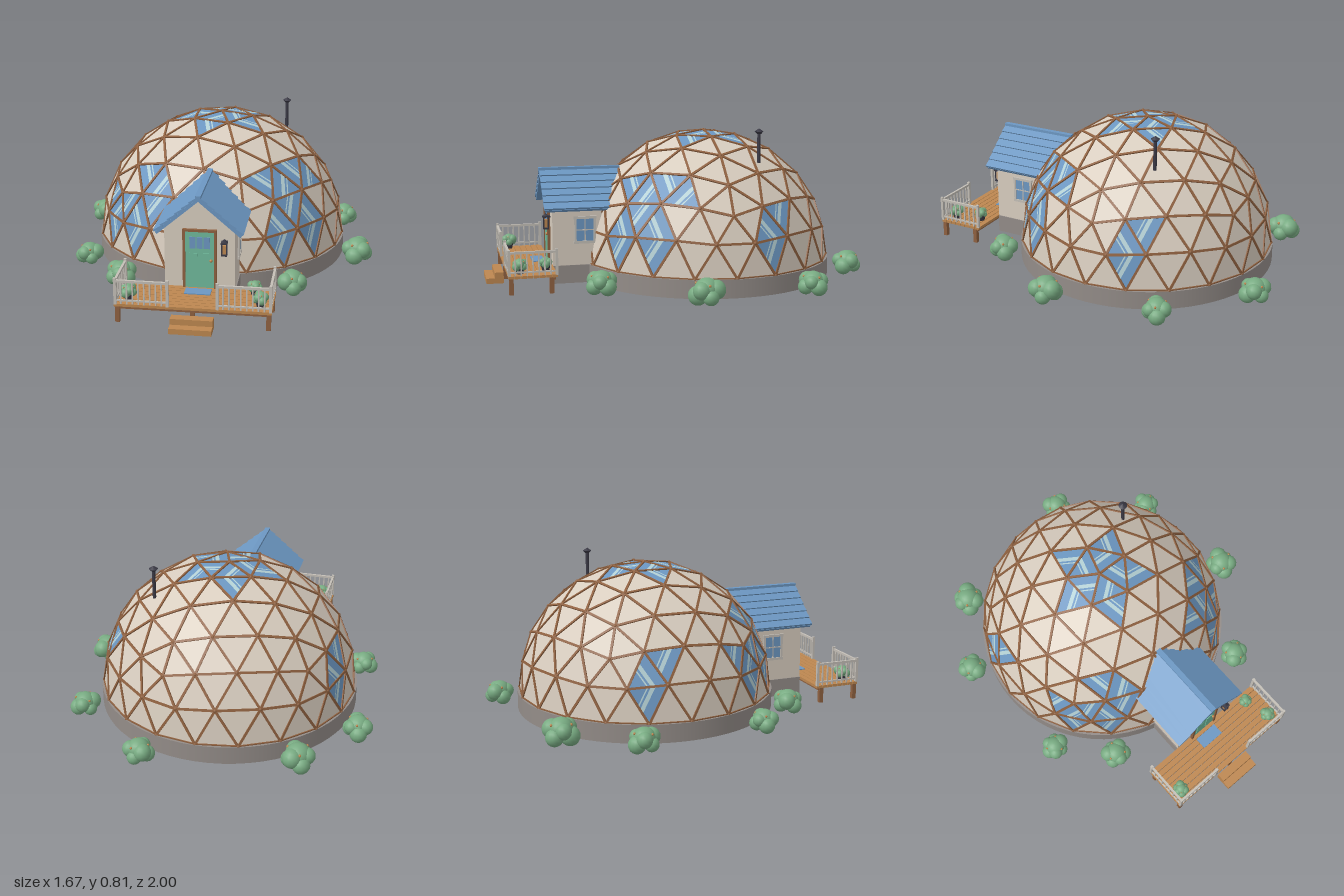
import * as THREE from 'three';
import { mergeGeometries } from 'three/addons/utils/BufferGeometryUtils.js';

const mat = (name, color, extra = {}) => new THREE.MeshStandardMaterial({ name, color, ...extra });
const M = {
  panel: mat('cream panel', 0xd8cdbf, { side: THREE.DoubleSide }),
  blue: mat('blue glass and roof', 0x6c97c2, { side: THREE.DoubleSide }),
  pale: mat('pale reflection', 0xb4d0d4, { side: THREE.DoubleSide }),
  wood: mat('deck wood', 0xbd8750),
  timber: mat('brown timber', 0x8f6140),
  stone: mat('grey concrete', 0x938c88),
  door: mat('mint door', 0x70ba9c),
  leaf: mat('leaf green', 0x78ab82),
  metal: mat('dark metal', 0x3b3a46),
  rail: mat('light rail', 0xc4bfb7),
};

const CX = -0.02, CZ = -0.19, BASE = 0.095, R = 0.675;
const V = (x, y, z) => new THREE.Vector3(x, y, z);

// Box placed by its min and max corners
function slab(x0, x1, y0, y1, z0, z1) {
  return new THREE.BoxGeometry(x1 - x0, y1 - y0, z1 - z0)
    .translate((x0 + x1) / 2, (y0 + y1) / 2, (z0 + z1) / 2);
}
function add(group, name, material, ...geos) {
  const mesh = new THREE.Mesh(geos.length > 1 ? mergeGeometries(geos) : geos[0], material);
  mesh.name = name;
  group.add(mesh);
  return mesh;
}
function polygons(points) {
  const g = new THREE.BufferGeometry().setFromPoints(points);
  g.computeVertexNormals();
  return g;
}
function polar(deg, y, r) {
  const a = deg * Math.PI / 180;
  return V(Math.cos(a) * r, y, Math.sin(a) * r);
}

// Glazed panels, as [azimuth in degrees, height on the unit sphere]
const glazed = [
  [36, 0.658], [47, 0.584], [25, 0.584], [59, 0.627], [36, 0.359], [46, 0.435], [55, 0.343], [36, 0.184], [54, 0.176],
  [131, 0.627], [119, 0.584], [118, 0.435], [144, 0.316], [144, 0.167], [127, 0.343], [126, 0.176], [152, 0.4], [136, 0.4],
  [-17, 0.343], [-26, 0.435], [-18, 0.176], [199, 0.343], [190, 0.435], [198, 0.176],
];
for (let k = 0; k < 5; k++) glazed.push([36 + 72 * k, 0.972], [36 + 72 * k, 0.943]);
const glassCentres = glazed.map(([a, y]) => polar(a, y, Math.sqrt(Math.max(0.965 - y * y, 0.015))));

// Upper half of a four-frequency geodesic sphere
function domeTriangles() {
  const apex = V(0, 1, 0), h = Math.sqrt(0.2), tris = [], n = 4;
  const up = k => polar(72 * k, h, 2 * h), low = k => polar(36 + 72 * k, -h, 2 * h);
  const faces = [];
  for (let k = 0; k < 5; k++)
    faces.push([apex, up(k + 1), up(k)], [low(k), up(k), up(k + 1)], [up(k), low(k), low(k - 1)]);
  for (const [a, b, c] of faces) {
    const p = (i, j) => V(0, 0, 0).addScaledVector(a, n - i - j).addScaledVector(b, i).addScaledVector(c, j).normalize();
    for (let i = 0; i < n; i++) for (let j = 0; j < n - i; j++) {
      tris.push([p(i, j), p(i + 1, j), p(i, j + 1)]);
      if (i + j < n - 1) tris.push([p(i + 1, j), p(i + 1, j + 1), p(i, j + 1)]);
    }
  }
  return tris.filter(t => t.every(v => v.y > -0.01));
}

function buildDome() {
  const dome = new THREE.Group();
  dome.name = 'dome';
  dome.position.set(CX, BASE, CZ);
  const solid = [], glass = [], shine = [], struts = [], hubs = [], seen = new Set();
  const key = v => [v.x, v.y, v.z].map(n => Math.round(n * 500)).join();
  for (const t of domeTriangles()) {
    const mid = V(0, 0, 0).add(t[0]).add(t[1]).add(t[2]).divideScalar(3);
    const isGlass = glassCentres.some(c => c.distanceTo(mid) < 0.07);
    const [a, b, c] = t.map(v => v.clone().multiplyScalar(R));
    const out = b.clone().sub(a).cross(c.clone().sub(a)).dot(mid) > 0;
    (isGlass ? glass : solid).push(...(out ? [a, b, c] : [a, c, b]));
    // Diagonal reflections on the glass
    if (isGlass) for (const [s, e] of [[0.3, 0.42], [0.48, 0.52]]) {
      const at = (p, q, k) => p.clone().lerp(q, k).addScaledVector(mid, 0.003);
      const [p, q, r, u] = [at(a, c, s), at(b, c, s), at(b, c, e), at(a, c, e)];
      shine.push(...(out ? [p, q, r, p, r, u] : [p, r, q, p, u, r]));
    }
    // Struts along every edge and a hub on every corner
    [[a, b], [b, c], [c, a]].forEach(([p, q]) => {
      const m = p.clone().add(q).multiplyScalar(0.5), id = key(m);
      if (!seen.has(id)) {
        seen.add(id);
        const z = q.clone().sub(p).normalize(), x = m.clone().normalize().cross(z).normalize();
        const basis = new THREE.Matrix4().makeBasis(x, z.clone().cross(x), z).setPosition(m);
        struts.push(new THREE.BoxGeometry(0.012, 0.012, p.distanceTo(q)).applyMatrix4(basis));
      }
      if (!seen.has('h' + key(p))) {
        seen.add('h' + key(p));
        hubs.push(new THREE.SphereGeometry(0.01, 8, 6).translate(p.x, p.y, p.z));
      }
    });
  }
  add(dome, 'domePanels', M.panel, polygons(solid));
  add(dome, 'domeWindows', M.blue, polygons(glass));
  add(dome, 'windowReflections', M.pale, polygons(shine));
  add(dome, 'domeStruts', M.timber, ...struts);
  add(dome, 'domeHubs', M.timber, ...hubs);
  return dome;
}

function buildEntrance() {
  const g = new THREE.Group();
  g.name = 'entrance';
  // Gabled walls
  const s = new THREE.Shape([[-0.175, BASE], [0.175, BASE], [0.175, 0.405], [0, 0.56], [-0.175, 0.405]].map(p => new THREE.Vector2(...p)));
  add(g, 'entranceWalls', M.panel, new THREE.ExtrudeGeometry(s, { depth: 0.38, bevelEnabled: false }).translate(CX, 0, 0.28));
  // Lapped roof boards on both slopes
  const boards = [], rows = 6, len = 0.275, slope = Math.atan2(0.18, 0.21);
  for (const side of [-1, 1]) {
    boards.push(new THREE.BoxGeometry(len, 0.014, 0.42).rotateZ(-side * slope)
      .translate(CX + side * 0.105, 0.478, 0.49));
    for (let i = 0; i < rows; i++) {
      const t = (i + 0.5) / rows;
      boards.push(new THREE.BoxGeometry(len / rows + 0.008, 0.01, 0.43).rotateZ(-side * (slope - 0.15))
        .translate(CX + side * (0.21 * t + 0.005), 0.58 - 0.18 * t, 0.49));
    }
  }
  boards.push(slab(CX - 0.014, CX + 0.014, 0.572, 0.59, 0.275, 0.707));
  add(g, 'roof', M.blue, ...boards);
  // Door with frame, panes and knob
  add(g, 'doorFrame', M.timber, slab(-0.103, -0.09, BASE, 0.405, 0.655, 0.675),
    slab(0.053, 0.066, BASE, 0.405, 0.655, 0.675), slab(-0.103, 0.066, 0.393, 0.405, 0.655, 0.675));
  add(g, 'door', M.door, slab(-0.09, 0.053, BASE, 0.393, 0.655, 0.668),
    slab(-0.07, -0.03, 0.13, 0.28, 0.667, 0.672), slab(-0.007, 0.033, 0.13, 0.28, 0.667, 0.672));
  add(g, 'doorPanes', M.blue, ...[-0.054, -0.0185, 0.017].map(x => slab(x - 0.015, x + 0.015, 0.305, 0.365, 0.667, 0.671)));
  add(g, 'doorKnob', M.wood, new THREE.SphereGeometry(0.008, 10, 8).translate(0.038, 0.245, 0.675));
  // Wall lantern
  add(g, 'lanternFrame', M.metal, slab(0.09, 0.122, 0.345, 0.353, 0.665, 0.705), slab(0.092, 0.12, 0.283, 0.291, 0.672, 0.702),
    new THREE.ConeGeometry(0.02, 0.018, 4).rotateY(Math.PI / 4).translate(0.106, 0.36, 0.687),
    ...[[0.094, 0.675], [0.118, 0.675], [0.094, 0.699], [0.118, 0.699]].map(([x, z]) => slab(x - 0.002, x + 0.002, 0.287, 0.349, z - 0.002, z + 0.002)));
  add(g, 'lanternLight', M.wood, slab(0.098, 0.114, 0.291, 0.335, 0.679, 0.695));
  // Side windows
  for (const side of [-1, 1]) {
    const w = new THREE.Group();
    w.name = 'sideWindow';
    w.position.set(CX + side * 0.175, 0.28, 0.49);
    add(w, 'sideGlass', M.blue, slab(-0.004, 0.004, -0.06, 0.06, -0.045, 0.045));
    add(w, 'sideFrame', M.rail, slab(-0.009, 0.009, 0.058, 0.072, -0.06, 0.06), slab(-0.009, 0.009, -0.072, -0.058, -0.06, 0.06),
      slab(-0.009, 0.009, -0.06, 0.06, 0.045, 0.057), slab(-0.009, 0.009, -0.06, 0.06, -0.057, -0.045),
      slab(-0.006, 0.006, -0.06, 0.06, -0.003, 0.003), slab(-0.006, 0.006, -0.003, 0.003, -0.045, 0.045));
    g.add(w);
  }
  return g;
}

function buildDeck() {
  const g = new THREE.Group();
  g.name = 'deck';
  const n = 8, dz = 0.25 / n, planks = [];
  for (let i = 0; i < n; i++) planks.push(slab(-0.4, 0.36, 0.083, 0.097, 0.66 + i * dz, 0.66 + (i + 1) * dz - 0.003));
  add(g, 'deckPlanks', M.wood, ...planks);
  const posts = [slab(-0.39, 0.35, 0.07, 0.084, 0.885, 0.9), slab(-0.39, 0.35, 0.07, 0.084, 0.67, 0.685)];
  for (const x of [-0.385, CX, 0.345]) for (const z of [0.69, 0.893]) posts.push(slab(x - 0.011, x + 0.011, 0, 0.083, z - 0.011, z + 0.011));
  add(g, 'deckPosts', M.timber, ...posts);
  add(g, 'steps', M.wood, slab(-0.12, 0.085, 0, 0.028, 0.955, 1), slab(-0.12, 0.085, 0, 0.058, 0.91, 0.956));
  add(g, 'doormat', M.blue, slab(-0.085, 0.045, 0.097, 0.102, 0.69, 0.755));
  // Railings with evenly spaced balusters
  const rails = [];
  function railing(x0, z0, x1, z1, count) {
    const bar = (y, t) => slab(Math.min(x0, x1) - t, Math.max(x0, x1) + t, y - t, y + t, Math.min(z0, z1) - t, Math.max(z0, z1) + t);
    rails.push(bar(0.215, 0.006), bar(0.115, 0.004));
    for (let i = 0; i <= count; i++) {
      const end = i === 0 || i === count, t = end ? 0.007 : 0.0035, x = x0 + (x1 - x0) * i / count, z = z0 + (z1 - z0) * i / count;
      rails.push(slab(x - t, x + t, BASE, end ? 0.23 : 0.215, z - t, z + t));
    }
  }
  railing(-0.393, 0.903, -0.14, 0.903, 9);
  railing(0.1, 0.903, 0.353, 0.903, 9);
  railing(-0.393, 0.665, -0.393, 0.903, 8);
  railing(0.353, 0.665, 0.353, 0.903, 8);
  add(g, 'railings', M.rail, ...rails);
  return g;
}

// Bush of overlapping lumps with a few berries
function bush(x, y, z, r, turn) {
  const g = new THREE.Group();
  g.name = 'bush';
  const lumps = [new THREE.SphereGeometry(r * 0.72, 16, 12).scale(1, 0.92, 1).translate(0, r * 0.85, 0)], berries = [];
  for (let i = 0; i < 6; i++) {
    const a = i * 1.047, h = r * (0.5 + 0.35 * (i % 2));
    lumps.push(new THREE.SphereGeometry(r * (0.46 + 0.05 * (i % 3)), 14, 10).translate(Math.cos(a) * r * 0.5, h, Math.sin(a) * r * 0.5));
    const b = a + 0.2;
    berries.push(new THREE.SphereGeometry(r * 0.08, 8, 6).translate(Math.cos(b) * r * 0.74, r * 1.13, Math.sin(b) * r * 0.74).multiplyScalar?.(1)
      ?? new THREE.SphereGeometry(r * 0.08, 8, 6).translate(Math.cos(b) * r * 0.62, r * 1.18, Math.sin(b) * r * 0.62));
  }
  add(g, 'leaves', M.leaf, ...lumps);
  add(g, 'berries', M.wood, ...berries);
  g.position.set(x, y, z);
  g.rotation.y = turn;
  return g;
}

export function createModel() {
  const model = new THREE.Group();
  model.name = 'domeHouse';
  add(model, 'foundation', M.stone, new THREE.CylinderGeometry(0.685, 0.685, BASE, 64).translate(CX, BASE / 2, CZ));
  add(model, 'entranceFoundation', M.stone, slab(CX - 0.18, CX + 0.18, 0, BASE, 0.3, 0.66));
  model.add(buildDome(), buildEntrance(), buildDeck());
  // Stove pipe with cap
  add(model, 'chimney', M.metal, new THREE.CylinderGeometry(0.009, 0.009, 0.17, 14).translate(0.32, 0.71, -0.4),
    new THREE.CylinderGeometry(0.022, 0.012, 0.012, 14).translate(0.32, 0.783, -0.4),
    new THREE.ConeGeometry(0.023, 0.016, 14).translate(0.32, 0.797, -0.4));
  // Garden bushes around the base
  [[-0.52, -0.8, 0.09], [0.25, -0.93, 0.08], [0.66, -0.585, 0.077], [-0.76, -0.46, 0.08], [-0.695, 0.2, 0.074],
    [0.745, -0.01, 0.088], [-0.465, 0.45, 0.08], [0.425, 0.45, 0.08]]
    .forEach(([x, z, r], i) => model.add(bush(x, 0, z, r, i * 1.3)));
  // Potted plants on the deck
  [[-0.34, 0.845, 0.043], [0.3, 0.845, 0.04], [0.26, 0.71, 0.036]].forEach(([x, z, r], i) => {
    add(model, 'planter', M.metal, new THREE.CylinderGeometry(0.024, 0.018, 0.028, 14).translate(x, 0.111, z));
    model.add(bush(x, 0.114, z, r, i));
  });
  return model;
}
